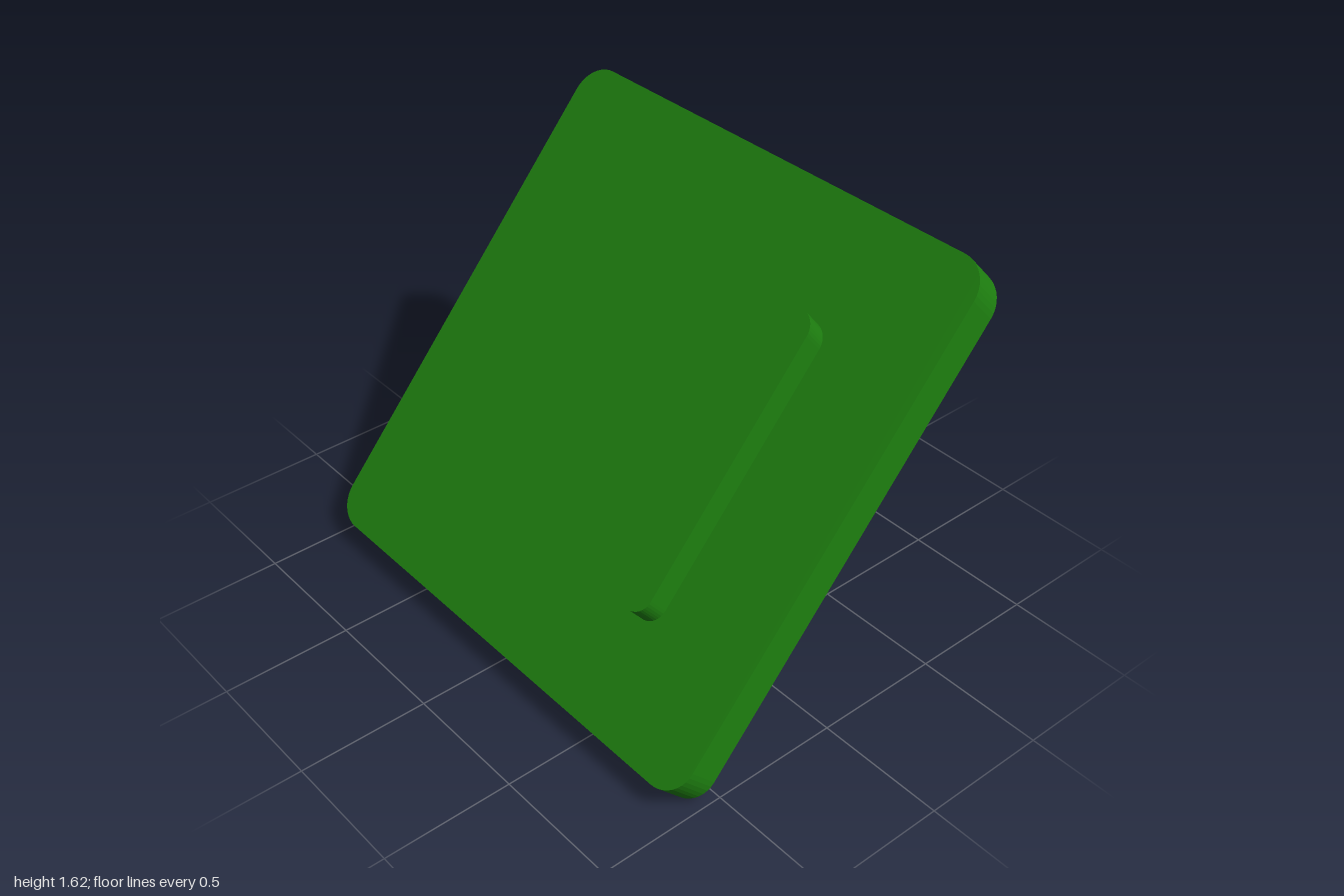
import * as THREE from 'three';

// Rounded rectangle centred on the origin
function roundedRect(path, w, h, r) {
  const x = w / 2, y = h / 2;
  path.moveTo(x, r - y);
  path.lineTo(x, y - r);
  path.absarc(x - r, y - r, r, 0, Math.PI / 2);
  path.absarc(r - x, y - r, r, Math.PI / 2, Math.PI);
  path.absarc(r - x, r - y, r, Math.PI, Math.PI * 1.5);
  path.absarc(x - r, r - y, r, Math.PI * 1.5, Math.PI * 2);
  return path;
}

export function createModel() {
  const group = new THREE.Group();
  group.name = 'tiltedPanel';
  const material = new THREE.MeshStandardMaterial({ color: 0x1e8010 });

  // Axes of the tilted panel: across, and up the slope
  const across = new THREE.Vector3(1, 0, 0);
  const slope = new THREE.Vector3(0, 0.757, -0.6535);

  // Extrude a shape by one unit, then lay it on the slope with a slightly oblique depth
  function addSlab(name, shape, origin, depth, from, to) {
    const geometry = new THREE.ExtrudeGeometry(shape, { depth: to - from, bevelEnabled: false, curveSegments: 5 });
    geometry.translate(0, 0, from);
    geometry.applyMatrix4(new THREE.Matrix4().makeBasis(across, slope, depth).setPosition(origin));
    const mesh = new THREE.Mesh(geometry, material);
    mesh.name = name;
    group.add(mesh);
  }

  // Main panel: solid front plate with a raised rim around the hollow back
  const panelOrigin = new THREE.Vector3(0, 0.757, -0.047);
  const panelDepth = new THREE.Vector3(0, 0.105, 0.097);
  const outline = () => roundedRect(new THREE.Shape(), 2, 2, 0.12);
  addSlab('frontPlate', outline(), panelOrigin, panelDepth, 0.6, 1);
  const rim = outline();
  rim.holes.push(roundedRect(new THREE.Path(), 1.9, 1.9, 0.06));
  addSlab('backRim', rim, panelOrigin, panelDepth, 0, 0.6);

  // Raised square pad on the front
  addSlab('raisedPad', roundedRect(new THREE.Shape(), 1.165, 1.155, 0.07),
    new THREE.Vector3(0, 0.857, 0.052), new THREE.Vector3(0, 0.079, 0.064), -0.1, 1);

  return group;
}
